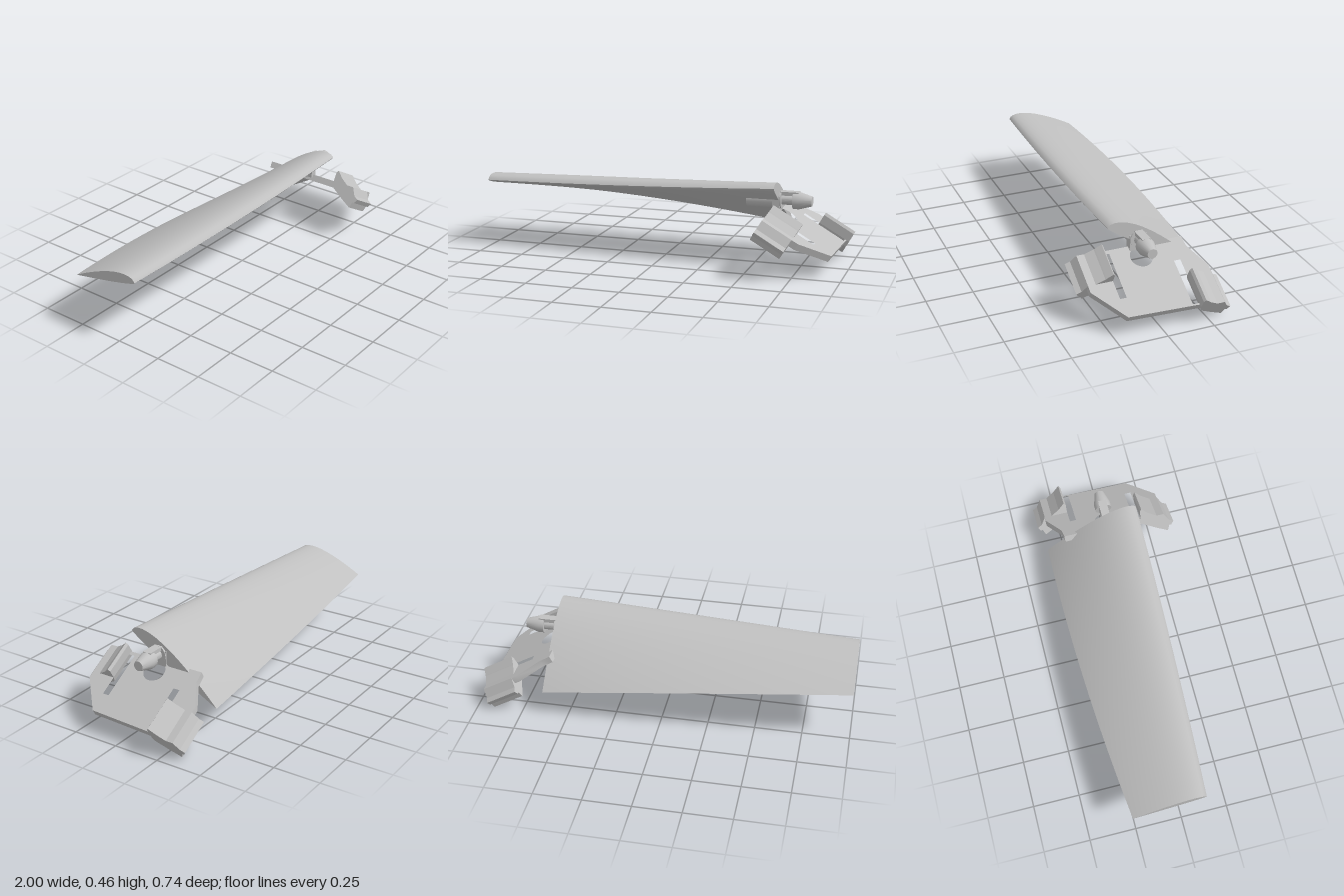
import * as THREE from 'three';
import { toCreasedNormals } from 'three/addons/utils/BufferGeometryUtils.js';

const grey = new THREE.MeshStandardMaterial({ color: 0xc0c0c0 });
grey.name = 'plain grey';

function add(parent, name, geometry) {
  const mesh = new THREE.Mesh(geometry, grey);
  mesh.name = name;
  parent.add(mesh);
  return mesh;
}

// Turned part lying along x, from [x, radius] points
function turned(points) {
  const profile = points.map(([x, r]) => new THREE.Vector2(r, x));
  const g = new THREE.LatheGeometry(profile, 24);
  g.rotateZ(-Math.PI / 2);
  return toCreasedNormals(g, 0.5);
}

const toPoints = (list) => list.map(([a, b]) => new THREE.Vector2(a, b));

// Airfoil half thickness at chord fraction c
const foil = (c, t) => 5 * t * (0.2969 * Math.sqrt(c) - 0.126 * c - 0.3516 * c * c
  + 0.2843 * c ** 3 - 0.1036 * c ** 4);

// Twisted blade lofted through airfoil sections
function bladeGeometry() {
  const half = 16, count = half * 2, rows = 24;
  const positions = [], index = [];
  for (let i = 0; i <= rows; i++) {
    const t = i / rows;
    const leadZ = 0.12 + 0.046 * (1 - (1 - t) ** 1.8);
    const leadY = 0.375 + 0.04 * t + 0.025 * t * t;
    const tailZ = -0.265 - 0.19 * t + 0.11 * t * t;
    const tailY = 0.285 - 0.06 * t - 0.085 * t * t;
    const dz = tailZ - leadZ, dy = tailY - leadY;
    for (let j = 0; j < count; j++) {
      // trailing edge, over the top to the leading edge, back underneath
      const c = 0.5 + 0.5 * Math.cos((j / half) * Math.PI);
      const h = j === 0 ? 0 : j <= half ? foil(c, 0.24) : -foil(c, 0.04);
      positions.push(-1 + 1.63 * t, leadY + dy * c - dz * h, leadZ + dz * c + dy * h);
    }
  }
  for (let i = 0; i < rows; i++) {
    for (let j = 0; j < count; j++) {
      const k = (j + 1) % count;
      const a = i * count + j, b = i * count + k;
      index.push(a, b, b + count, a, b + count, a + count);
    }
  }
  // End caps, joining each upper point to the lower one beneath it
  for (let j = 0; j < half; j++) {
    const quad = [j, j + 1, count - j - 1, (count - j) % count];
    const [a, b, c, d] = quad, r = rows * count;
    index.push(a + r, b + r, c + r, a + r, c + r, d + r);
    index.push(a, c, b, a, d, c);
  }
  const g = new THREE.BufferGeometry();
  g.setAttribute('position', new THREE.Float32BufferAttribute(positions, 3));
  g.setIndex(index);
  return toCreasedNormals(g, 0.6);
}

// Mounting plate, drawn as (down the slope, z)
function plateGeometry() {
  const shape = new THREE.Shape(toPoints([
    [-0.01, 0.32], [0.2, 0.32], [0.37, 0.185], [0.385, -0.205], [0.385, -0.32],
    [0.18, -0.32], [0.05, -0.25], [-0.01, -0.245]]));
  const hole = new THREE.Path();
  hole.absarc(0.06, 0, 0.058, 0, Math.PI * 2, true);
  const slot = (u0, u1, z0, z1) =>
    new THREE.Path(toPoints([[u0, z0], [u0, z1], [u1, z1], [u1, z0]]));
  shape.holes.push(hole, slot(0.01, 0.265, 0.155, 0.19), slot(0.12, 0.375, -0.19, -0.155));
  const g = new THREE.ExtrudeGeometry(shape, { depth: 0.036, bevelEnabled: false, curveSegments: 24 });
  g.rotateX(Math.PI / 2);
  return toCreasedNormals(g, 0.5);
}

// Ribbed end block, one profile swept down the slope; side is +1 front, -1 back
function blockGeometry(side, start, length) {
  const profile = [
    [0.19, 0], [0.19, 0.05], [0.2, 0.064], [0.23, 0.035], [0.235, 0.03], [0.28, 0], [0.32, 0],
    [0.345, -0.045], [0.37, -0.06], [0.355, -0.083], [0.345, -0.08], [0.333, -0.115],
    [0.27, -0.08], [0.2, -0.036]];
  const shape = new THREE.Shape(toPoints(profile.map(([z, n]) => [-side * z, n])));
  const g = new THREE.ExtrudeGeometry(shape, { depth: length, bevelEnabled: false });
  g.rotateY(Math.PI / 2);
  g.translate(start, 0, 0);
  return g;
}

export function createModel() {
  const model = new THREE.Group();
  model.name = 'bladeWithMount';

  add(model, 'blade', bladeGeometry());

  // Pivot pin with barbed end
  const pin = new THREE.Group();
  pin.name = 'pivotPin';
  pin.position.y = 0.35;
  model.add(pin);
  add(pin, 'shaft', turned([[0.455, 0], [0.455, 0.047], [0.64, 0.047], [0.64, 0]]));
  add(pin, 'core', turned([[0.63, 0], [0.63, 0.026], [0.72, 0.026], [0.72, 0]]));
  add(pin, 'barb', turned([[0.7, 0], [0.7, 0.045], [0.73, 0.046], [0.8, 0.026], [0.8, 0]]));
  add(pin, 'tongue', new THREE.BoxGeometry(0.1, 0.02, 0.045)).position.set(0.68, 0.036, 0);
  add(pin, 'collar', new THREE.BoxGeometry(0.04, 0.085, 0.094)).position.set(0.615, -0.017, 0);

  // Sloping bracket
  const bracket = new THREE.Group();
  bracket.name = 'bracket';
  bracket.position.set(0.62, 0.3, 0);
  bracket.rotation.z = -Math.PI / 6;
  model.add(bracket);
  add(bracket, 'plate', plateGeometry());
  add(bracket, 'frontBlock', blockGeometry(1, -0.015, 0.177));
  add(bracket, 'backBlock', blockGeometry(-1, 0.213, 0.187));

  return model;
}
